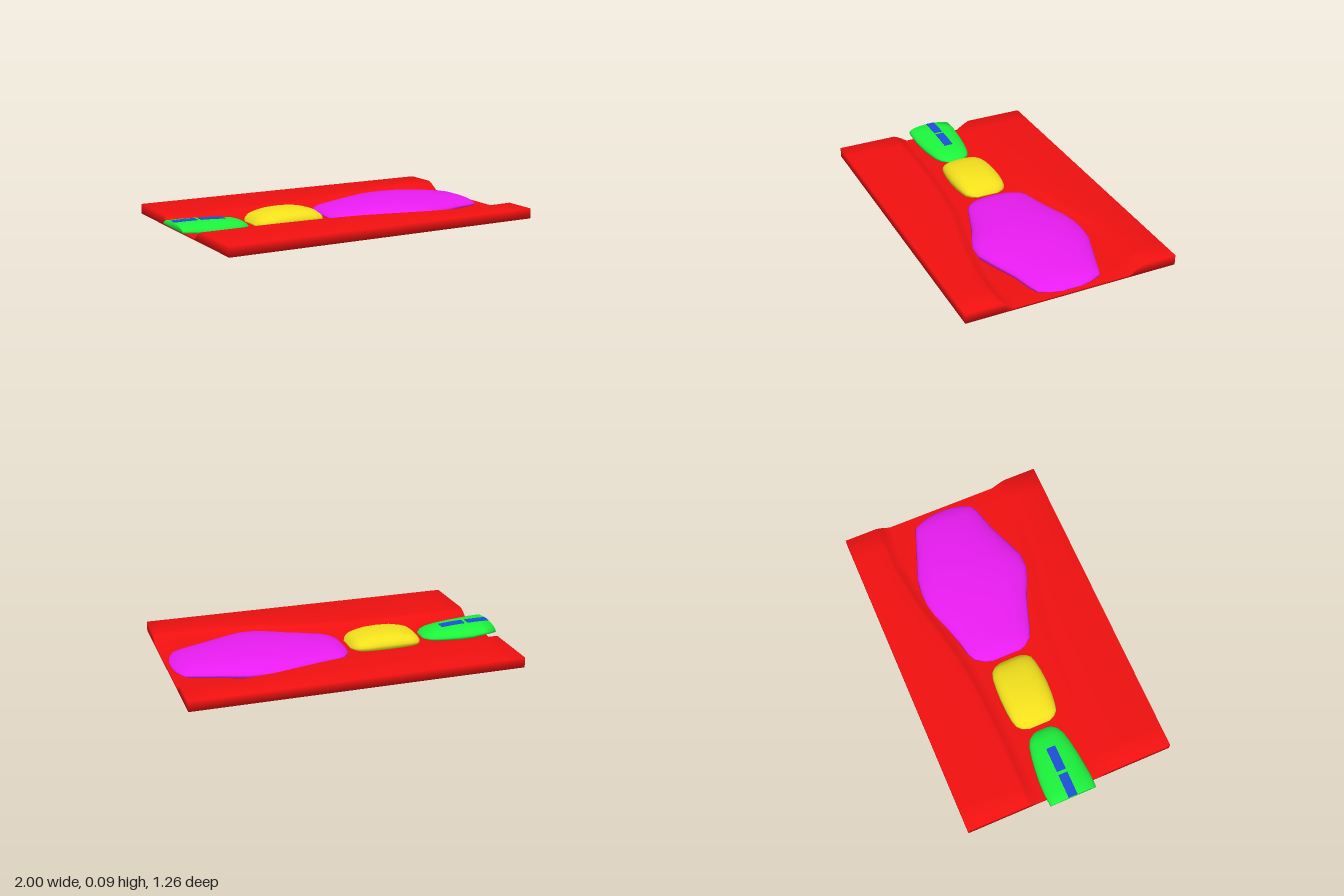
import * as THREE from 'three';
import { mergeVertices } from 'three/addons/utils/BufferGeometryUtils.js';

// Linear lookup in a list of [x, a, b, ...] stations
function sample(list, x, k = 1) {
  for (let i = 1; i < list.length; i++) {
    if (x <= list[i][0] || i === list.length - 1) {
      const [p, q] = [list[i - 1], list[i]];
      const t = THREE.MathUtils.clamp((x - p[0]) / (q[0] - p[0]), 0, 1);
      return p[k] + (q[k] - p[k]) * t;
    }
  }
}

function makeMesh(name, geometry, color, side = THREE.FrontSide) {
  const mesh = new THREE.Mesh(geometry, new THREE.MeshStandardMaterial({ color, side }));
  mesh.name = name;
  return mesh;
}

// Smooth normals shared across all faces
function smooth(geometry) {
  geometry.deleteAttribute('normal');
  geometry.deleteAttribute('uv');
  const merged = mergeVertices(geometry, 1e-5);
  merged.computeVertexNormals();
  return merged;
}

// Tray: a slab whose top is pressed into a channel that widens towards +x
const LIP = [[-0.95, 0.265], [-0.5, 0.265], [-0.2, 0.28], [0, 0.3], [0.2, 0.34],
  [0.45, 0.4], [0.75, 0.44], [1, 0.43]];
function trayGeometry() {
  const rows = 8;
  const heights = [0.06, 0.06, 0.047, 0.012, 0.012];
  const geo = new THREE.BoxGeometry(1.95, 0.06, 1.26, 14, 1, rows);
  const pos = geo.attributes.position;
  for (let i = 0; i < pos.count; i++) {
    const x = pos.getX(i) + 0.025;
    const row = Math.round((pos.getZ(i) / 1.26 + 0.5) * rows);
    const step = Math.min(row, rows - row);
    const lip = sample(LIP, x);
    const z = [0.63, lip, lip - 0.03, lip - 0.085, 0][step];
    pos.setXYZ(i, x, pos.getY(i) > 0 ? heights[step] : 0, row < rows / 2 ? -z : z);
  }
  return smooth(geo);
}

// Domed body lofted along x; stations are [x, zMin, zMax, top, base]
function domeGeometry(stations, roundness, arc = 16) {
  const ring = arc + 1;
  const points = [];
  const index = [];
  for (const [x, z0, z1, top, base] of stations) {
    for (let j = 0; j < ring; j++) {
      const a = (j / arc) * Math.PI;
      const c = Math.cos(a);
      const u = Math.sign(c) * Math.abs(c) ** roundness;
      const v = Math.abs(Math.sin(a)) ** roundness;
      points.push(x, base + (top - base) * v, (z0 + z1) / 2 + u * (z1 - z0) / 2);
    }
  }
  for (let i = 0; i < stations.length - 1; i++) {
    for (let j = 0; j < ring; j++) {
      const k = (j + 1) % ring;
      const a = i * ring + j, b = i * ring + k;
      index.push(a, a + ring, b, b, a + ring, b + ring);
    }
  }
  // End caps
  const last = (stations.length - 1) * ring;
  for (let j = 1; j < arc; j++) {
    index.push(0, j, j + 1);
    index.push(last, last + j + 1, last + j);
  }
  const geo = new THREE.BufferGeometry();
  geo.setAttribute('position', new THREE.Float32BufferAttribute(points, 3));
  geo.setIndex(index);
  geo.computeVertexNormals();
  return geo;
}

const LARGE = [
  [-0.06, -0.1, 0.08, 0.02, 0.012], [-0.045, -0.15, 0.12, 0.035, 0.012],
  [-0.01, -0.2, 0.16, 0.05, 0.012], [0.03, -0.22, 0.18, 0.06, 0.012],
  [0.12, -0.24, 0.21, 0.072, 0.012], [0.25, -0.28, 0.255, 0.084, 0.012],
  [0.34, -0.315, 0.3, 0.09, 0.012], [0.42, -0.332, 0.328, 0.091, 0.012],
  [0.5, -0.332, 0.33, 0.092, 0.012], [0.6, -0.32, 0.295, 0.09, 0.012],
  [0.75, -0.265, 0.235, 0.079, 0.012], [0.88, -0.22, 0.2, 0.061, 0.012],
  [0.93, -0.2, 0.18, 0.045, 0.012], [0.96, -0.13, 0.12, 0.03, 0.012],
  [0.975, -0.06, 0.05, 0.018, 0.012],
];
const SMALL = [
  [-0.53, -0.07, 0.06, 0.02, 0.012], [-0.515, -0.11, 0.095, 0.045, 0.012],
  [-0.49, -0.135, 0.12, 0.063, 0.012], [-0.45, -0.147, 0.13, 0.075, 0.012],
  [-0.39, -0.153, 0.138, 0.087, 0.012], [-0.31, -0.156, 0.142, 0.09, 0.012],
  [-0.23, -0.153, 0.138, 0.087, 0.012], [-0.17, -0.147, 0.13, 0.075, 0.012],
  [-0.13, -0.135, 0.12, 0.063, 0.012], [-0.105, -0.11, 0.095, 0.045, 0.012],
  [-0.09, -0.07, 0.06, 0.02, 0.012],
];
const END = [
  [-1, -0.145, 0.14, 0.073, 0.035], [-0.93, -0.15, 0.143, 0.074, 0.027],
  [-0.85, -0.148, 0.138, 0.073, 0.016], [-0.77, -0.14, 0.13, 0.07, 0.012],
  [-0.7, -0.13, 0.12, 0.065, 0.012], [-0.63, -0.115, 0.105, 0.056, 0.012],
  [-0.59, -0.095, 0.085, 0.043, 0.012], [-0.565, -0.06, 0.055, 0.025, 0.012],
  [-0.56, -0.035, 0.03, 0.015, 0.012],
];

// Thin strip laid on the crown of the end pad
function stripGeometry(x0, x1) {
  const geo = new THREE.BoxGeometry(x1 - x0, 0.008, 0.055, 4, 1, 2);
  geo.translate((x0 + x1) / 2, 0, -0.008);
  const pos = geo.attributes.position;
  for (let i = 0; i < pos.count; i++) {
    pos.setY(i, pos.getY(i) + sample(END, pos.getX(i), 3) - 0.002);
  }
  geo.computeVertexNormals();
  return geo;
}

export function createModel() {
  const group = new THREE.Group();
  group.name = 'channelTray';
  group.add(
    makeMesh('tray', trayGeometry(), 0xf01010),
    makeMesh('largePad', domeGeometry(LARGE, 0.95), 0xe81cf0),
    makeMesh('smallPad', domeGeometry(SMALL, 0.75), 0xf2e01c),
    makeMesh('endPad', domeGeometry(END, 0.9), 0x1cf23c),
    makeMesh('outerStrip', stripGeometry(-1, -0.86), 0x1c50d8),
    makeMesh('innerStrip', stripGeometry(-0.84, -0.69), 0x1c50d8),
  );
  return group;
}
